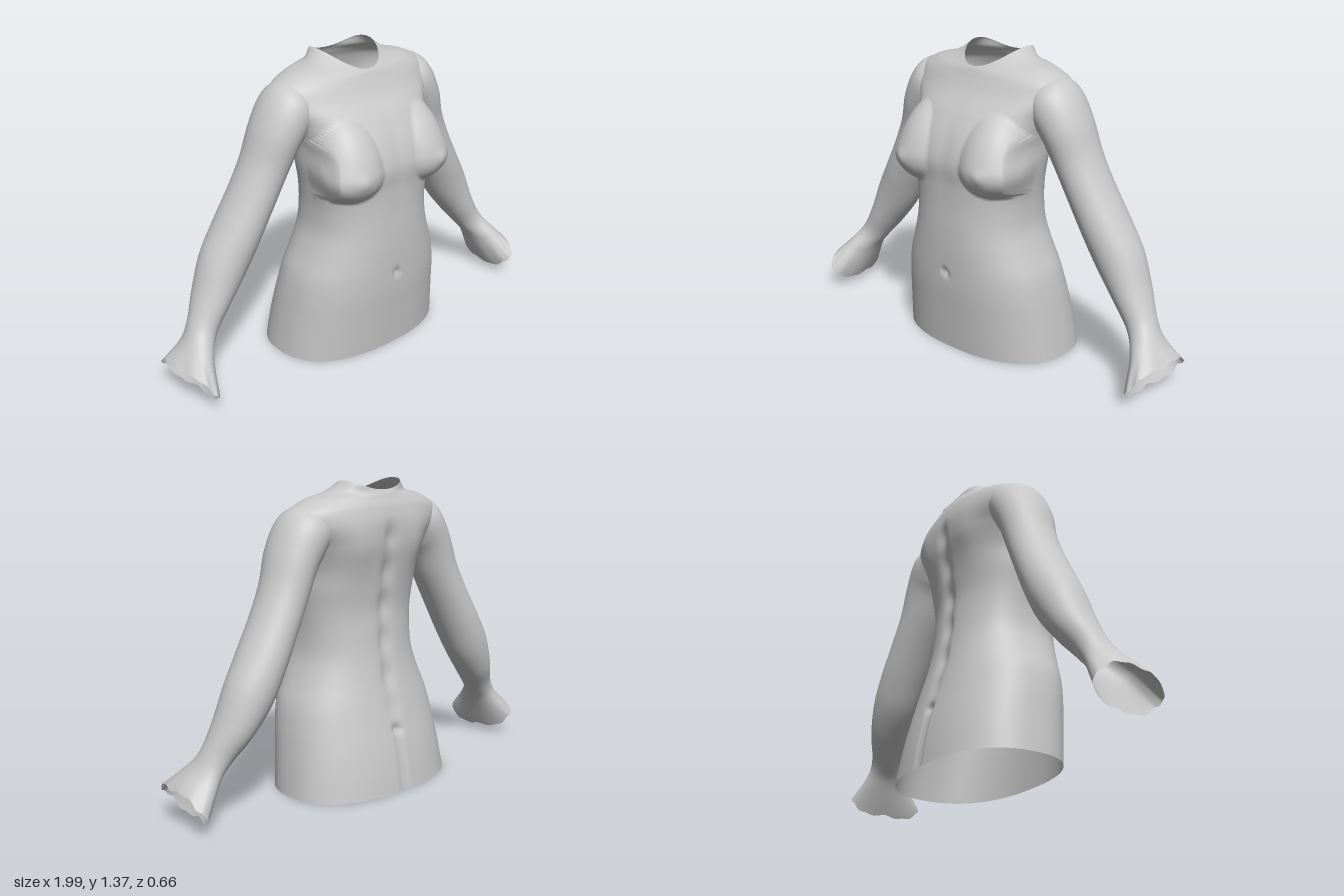
import * as THREE from 'three';

const skin = new THREE.MeshStandardMaterial({ color: 0xc8c8c8, side: THREE.DoubleSide });
skin.name = 'plain grey';

// Smoothly interpolate a table of cross-sections, t from 0 to 1
function sample(rows, t) {
  const p = t * (rows.length - 1);
  const i = Math.min(Math.floor(p), rows.length - 2), f = p - i;
  const at = (k) => rows[Math.max(0, Math.min(rows.length - 1, k))];
  return rows[i].map((b, c) => {
    const a = at(i - 1)[c], d = at(i + 1)[c], e = at(i + 2)[c];
    return b + 0.5 * f * (d - a + f * (2 * a - 5 * b + 4 * d - e + f * (3 * (b - d) + e - a)));
  });
}

// Open tube surface: point(t, angle) gives [x, y, z]
function loft(nu, nv, point) {
  const pos = [], index = [];
  for (let i = 0; i <= nu; i++) {
    for (let j = 0; j < nv; j++) {
      pos.push(...point(i / nu, (j / nv) * Math.PI * 2));
      if (i === nu) continue;
      const a = i * nv + j, b = i * nv + ((j + 1) % nv);
      index.push(a, b, a + nv, b, b + nv, a + nv);
    }
  }
  const g = new THREE.BufferGeometry();
  g.setAttribute('position', new THREE.Float32BufferAttribute(pos, 3));
  g.setIndex(index);
  g.computeVertexNormals();
  return g;
}

const bell = (d, w) => Math.exp(-(d * d) / (w * w));
const step = THREE.MathUtils.smoothstep;

// half width, front z, back z, y at the sides, y at the front, y at the back
const TORSO = [
  [0.432, 0.25, -0.33, 0, 0, 0],
  [0.42, 0.26, -0.315, 0.1, 0.1, 0.1],
  [0.407, 0.27, -0.295, 0.2, 0.2, 0.2],
  [0.392, 0.28, -0.27, 0.3, 0.3, 0.3],
  [0.37, 0.285, -0.245, 0.4, 0.4, 0.4],
  [0.33, 0.288, -0.222, 0.5, 0.5, 0.5],
  [0.297, 0.288, -0.205, 0.6, 0.6, 0.6],
  [0.29, 0.286, -0.195, 0.7, 0.7, 0.7],
  [0.298, 0.288, -0.19, 0.8, 0.8, 0.8],
  [0.312, 0.295, -0.2, 0.9, 0.9, 0.9],
  [0.318, 0.268, -0.215, 1, 1, 1],
  [0.35, 0.213, -0.232, 1.1, 1.1, 1.1],
  [0.41, 0.152, -0.235, 1.18, 1.18, 1.19],
  [0.405, 0.12, -0.222, 1.245, 1.235, 1.255],
  [0.315, 0.107, -0.205, 1.295, 1.262, 1.295],
  [0.21, 0.098, -0.195, 1.322, 1.28, 1.317],
  [0.15, 0.09, -0.185, 1.37, 1.29, 1.33],
];

function torsoPoint(t, a) {
  const [w, zf, zb, ys, yf, yb] = sample(TORSO, t);
  const s = Math.sin(a), c = Math.cos(a);
  const e = 2 / THREE.MathUtils.lerp(2.4, 2.1, step(t, 0.65, 0.8));
  let x = w * Math.sign(s) * Math.abs(s) ** e;
  const mid = (zf + zb) / 2;
  let z = mid + ((zf - zb) / 2) * Math.sign(c) * Math.abs(c) ** e;
  const y = ys + ((c > 0 ? yf : yb) - ys) * c * c;
  if (c > 0) {
    // Bust: full below, sloping gently up into the chest
    const dx = (Math.abs(x) - 0.185) / 0.16;
    const dy = (y - 0.885) / (y < 0.885 ? 0.133 : 0.26);
    const q = dx * dx + dy * dy;
    if (q < 1) {
      const bust = 0.15 - 0.2 * Math.max(0, y - 0.9) + 0.174 * Math.sqrt(1 - q);
      const k = 0.02, d = bust - z;
      const lift = 0.5 * (d + Math.sqrt(d * d + k * k)) - (k * k * 0.5) / (Math.abs(d) + k);
      z += Math.max(0, lift) * step(z, 0, 0.13);
    }
    x *= 1 + 0.06 * bell(y - 0.87, 0.07) * step(z, 0, 0.1);
    z += 0.008 * bell(Math.hypot(Math.abs(x) - 0.23, y - 0.885), 0.03);
    // Navel and breastbone
    z -= 0.018 * bell(x, 0.01) * bell(y - 0.385, 0.02);
    z -= 0.006 * bell(x, 0.04) * bell(y - 0.95, 0.14);
  } else {
    // Spine groove with vertebrae, cleft and shoulder blades
    const spine = step(y, 0.25, 0.5) * (1 - step(y, 1.1, 1.28));
    z += (0.016 + 0.004 * Math.sin(y * 40)) * bell(x, 0.035) * spine;
    z += 0.012 * bell(x, 0.012) * (1 - step(y, 0.22, 0.3));
    z += 0.02 * bell(Math.hypot(x, y - 0.27), 0.022);
    z -= 0.012 * bell(Math.abs(x) - 0.17, 0.08) * bell(y - 1.08, 0.12);
  }
  // The neck opening is widest towards the back
  z -= 0.045 * s * s * step(t, 0.92, 1);
  return [x, y, z];
}

// centre x, y, z, radius across, radius in z, direction x and y of the radius across
const ARM = [
  [0.27, 1.18, -0.052, 0.09, 0.11, 0.15, 1],
  [0.345, 1.155, -0.046, 0.118, 0.137, 0.5, 0.86],
  [0.41, 1.06, -0.048, 0.108, 0.134, 0.88, 0.45],
  [0.465, 0.93, -0.06, 0.1, 0.121, 0.91, 0.42],
  [0.53, 0.8, -0.07, 0.098, 0.12, 0.88, 0.47],
  [0.61, 0.655, -0.08, 0.103, 0.12, 0.86, 0.51],
  [0.685, 0.525, -0.085, 0.105, 0.112, 0.85, 0.53],
  [0.76, 0.395, -0.075, 0.083, 0.097, 0.85, 0.53],
  [0.83, 0.285, -0.05, 0.065, 0.076, 0.85, 0.53],
  [0.88, 0.21, -0.02, 0.062, 0.105, 0.8, 0.6],
  [0.945, 0.102, 0.01, 0.088, 0.178, 0.56, 0.83],
];

function armPoint(side) {
  return (t, angle) => {
    const a = side * angle;
    const [x, y, z, r, d, nx, ny] = sample(ARM, t);
    const n = Math.hypot(nx, ny), cuff = step(t, 0.9, 1);
    const k = (r * Math.cos(a)) / n;
    // Ragged, slanting edge of the open cuff
    const rag = cuff * (0.006 * Math.sin(5 * a + 1) + 0.004 * Math.sin(11 * a));
    const slant = -0.02 * cuff * Math.sin(a);
    return [side * (x + nx * k + slant + rag * 0.4), y + ny * k - rag, z + d * Math.sin(a)];
  };
}

export function createModel() {
  const model = new THREE.Group();
  model.name = 'torsoFigure';
  const add = (name, geometry) => {
    const mesh = new THREE.Mesh(geometry, skin);
    mesh.name = name;
    model.add(mesh);
  };
  add('torso', loft(150, 180, torsoPoint));
  add('leftArm', loft(88, 56, armPoint(1)));
  add('rightArm', loft(88, 56, armPoint(-1)));
  return model;
}
